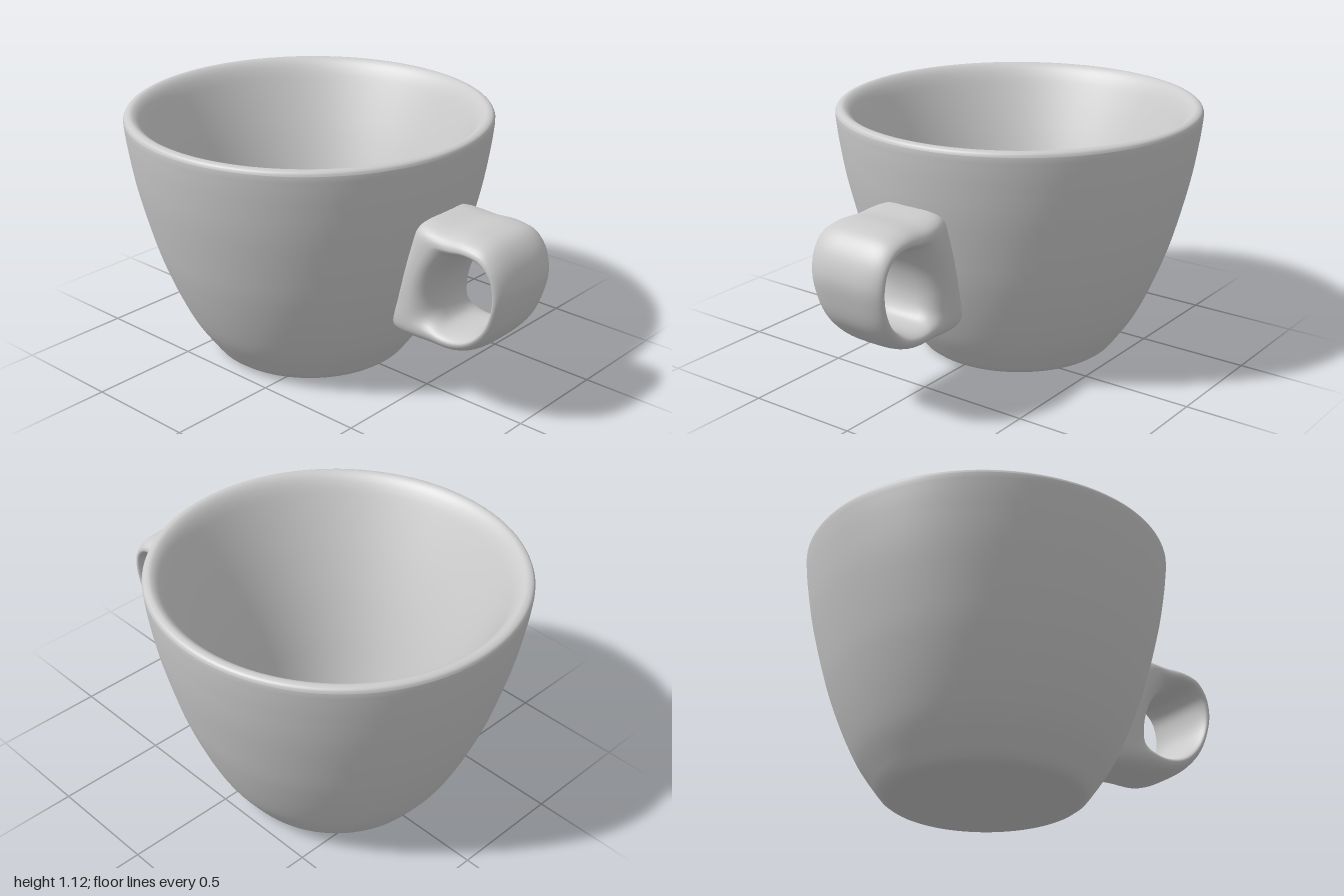
import * as THREE from 'three';

const CUP_Z = -0.192; // the bowl sits back so that cup and handle are centred together
const v2 = ([x, y]) => new THREE.Vector2(x, y);

// Half profile of the bowl as radius, height: base, outer wall, lip, flared inside, floor
function cupGeometry() {
  const base = [[0, 0], [0.37, 0], [0.4, 0.001], [0.425, 0.007], [0.445, 0.022]].map(v2);
  const wall = new THREE.SplineCurve([
    [0.463, 0.045], [0.542, 0.16], [0.604, 0.285], [0.662, 0.43], [0.707, 0.57],
    [0.765, 0.8], [0.796, 0.98], [0.808, 1.085],
  ].map(v2)).getPoints(40);
  const inside = new THREE.SplineCurve([
    [0.808, 1.1], [0.802, 1.113], [0.79, 1.12], [0.772, 1.12], [0.75, 1.105],
    [0.727, 1.075], [0.7, 1.025], [0.645, 0.91], [0.585, 0.775], [0.52, 0.61],
    [0.462, 0.435], [0.413, 0.26], [0.374, 0.115],
  ].map(v2)).getPoints(60);
  const floor = [[0.369, 0.104], [0.361, 0.097], [0.35, 0.094], [0.335, 0.093], [0, 0.093]].map(v2);
  return new THREE.LatheGeometry([...base, ...wall, ...inside, ...floor], 96);
}

// Handle: a ring of crowned sections between the finger hole and the outer edge
function handleGeometry() {
  const loop = (pts) => new THREE.CatmullRomCurve3(
    pts.map(([z, y]) => new THREE.Vector3(0, y, z)), true);
  const hole = loop([
    [0.81, 0.743], [0.88, 0.733], [0.922, 0.69], [0.934, 0.62], [0.924, 0.54],
    [0.88, 0.46], [0.81, 0.4], [0.73, 0.377], [0.66, 0.387], [0.63, 0.43],
    [0.62, 0.49], [0.635, 0.57], [0.67, 0.64], [0.73, 0.71], [0.77, 0.733],
  ]);
  const edge = loop([
    [0.82, 0.837], [0.91, 0.815], [0.97, 0.75], [1.0, 0.65], [0.985, 0.55],
    [0.945, 0.44], [0.86, 0.345], [0.76, 0.295], [0.62, 0.283], [0.37, 0.292],
    [0.38, 0.45], [0.42, 0.6], [0.48, 0.75], [0.52, 0.832], [0.7, 0.834],
  ]);
  const rings = 90, sides = 36, pos = [], index = [];

  for (let i = 0; i < rings; i++) {
    const inner = hole.getPoint(i / rings), outer = edge.getPoint(i / rings);
    for (let j = 0; j < sides; j++) {
      const a = (j / sides) * Math.PI * 2, s = Math.sin(a), c = Math.cos(a);
      // the outer face is crowned more than the face around the finger hole
      const p = inner.clone().lerp(outer, 0.4 + (s > 0 ? 0.6 : 0.4) * s);
      const width = THREE.MathUtils.mapLinear(p.y, 0.33, 0.8, 0.165, 0.196);
      pos.push(width * Math.sign(c) * Math.abs(c) ** 0.62, p.y, p.z);

      const i2 = (i + 1) % rings, j2 = (j + 1) % sides;
      const A = i * sides + j, B = i * sides + j2, C = i2 * sides + j, D = i2 * sides + j2;
      index.push(A, B, C, B, D, C);
    }
  }
  const geo = new THREE.BufferGeometry();
  geo.setAttribute('position', new THREE.Float32BufferAttribute(pos, 3));
  geo.setIndex(index);
  geo.computeVertexNormals();
  return geo;
}

export function createModel() {
  const material = new THREE.MeshStandardMaterial({ color: 0xcccccc });
  const group = new THREE.Group();
  group.name = 'coffeeCup';

  const bowl = new THREE.Mesh(cupGeometry(), material);
  bowl.name = 'bowl';
  bowl.position.z = CUP_Z;

  const handle = new THREE.Mesh(handleGeometry(), material);
  handle.name = 'handle';

  group.add(bowl, handle);
  return group;
}
